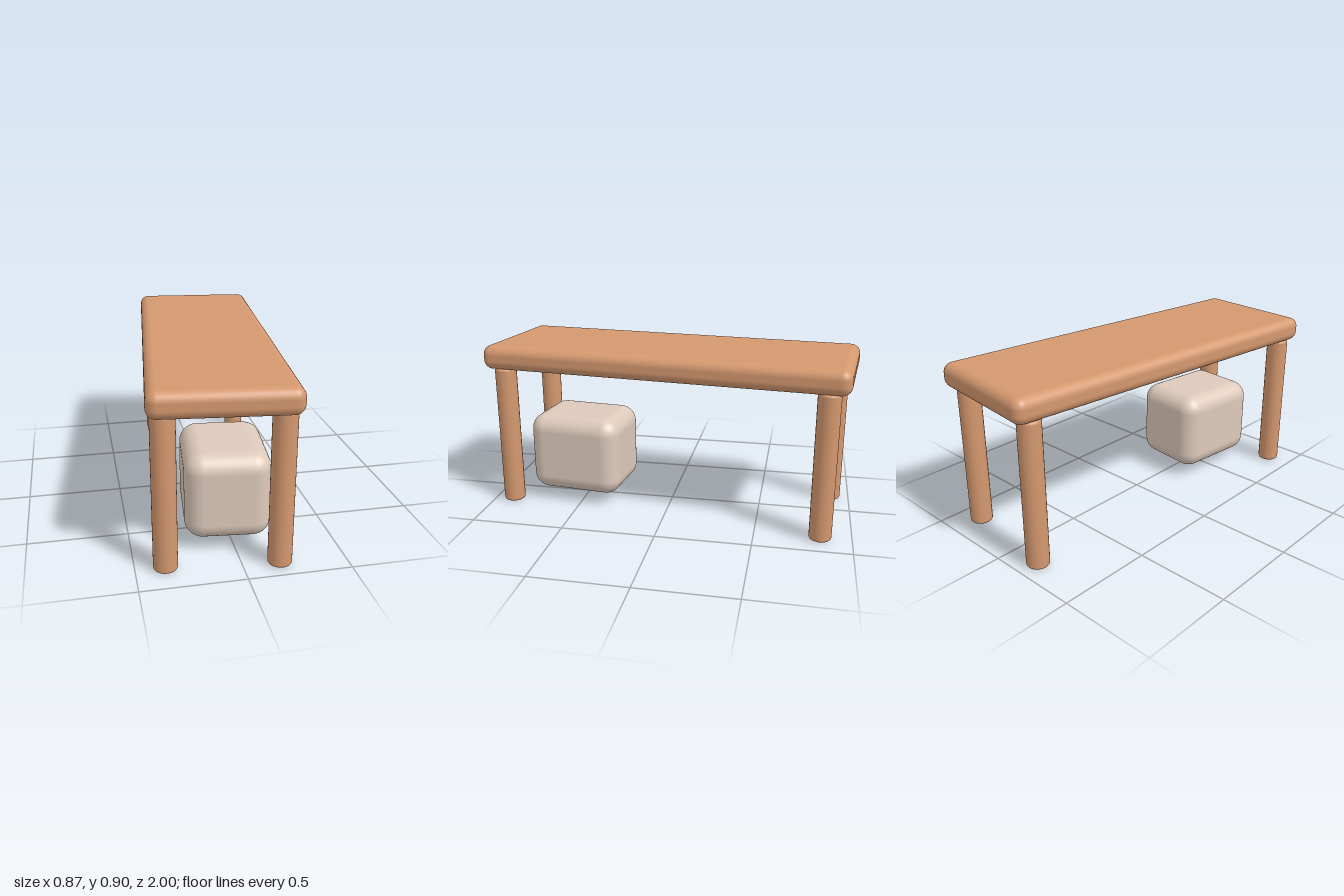
import * as THREE from 'three';
import { RoundedBoxGeometry } from 'three/addons/geometries/RoundedBoxGeometry.js';

export function createModel() {
  const model = new THREE.Group();
  model.name = 'deskWithCabinet';

  const wood = new THREE.MeshStandardMaterial({ name: 'warm wood', color: 0xd4986f });
  const beige = new THREE.MeshStandardMaterial({ name: 'pale beige', color: 0xddc9ba });

  const add = (name, geometry, material, x, y, z, parent) => {
    const mesh = new THREE.Mesh(geometry, material);
    mesh.name = name;
    mesh.position.set(x, y, z);
    parent.add(mesh);
    return mesh;
  };

  // The whole table is turned slightly on the floor
  const turn = -0.103;
  const table = new THREE.Group();
  table.name = 'table';
  table.rotation.y = turn;
  model.add(table);

  // Slab with softly rounded edges
  add('tableTop', new RoundedBoxGeometry(0.686, 0.13, 1.95, 6, 0.05), wood, 0, 0.835, 0, table);

  // Round legs with small eased edges at both ends
  const radius = 0.058, height = 0.775, ease = 0.014;
  const profile = [new THREE.Vector2(0, 0)];
  const corner = (cy, start) => {
    for (let i = 0; i <= 4; i++) {
      const a = start + (i / 4) * Math.PI / 2;
      profile.push(new THREE.Vector2(radius - ease + ease * Math.cos(a), cy + ease * Math.sin(a)));
    }
  };
  corner(ease, -Math.PI / 2);
  corner(height - ease, 0);
  profile.push(new THREE.Vector2(0, height));
  const legGeometry = new THREE.LatheGeometry(profile, 32);
  for (const [end, z] of [['front', 0.87], ['back', -0.87]]) {
    for (const [side, x] of [['Left', 0.269], ['Right', -0.269]]) {
      add(`${end}${side}Leg`, legGeometry, wood, x, 0, z, table);
    }
  }

  // Rounded cabinet under the front end
  const cabinet = add('cabinet', new RoundedBoxGeometry(0.42, 0.44, 0.52, 8, 0.09), beige, -0.012, 0.28, 0.515, model);
  cabinet.rotation.y = turn;

  return model;
}
